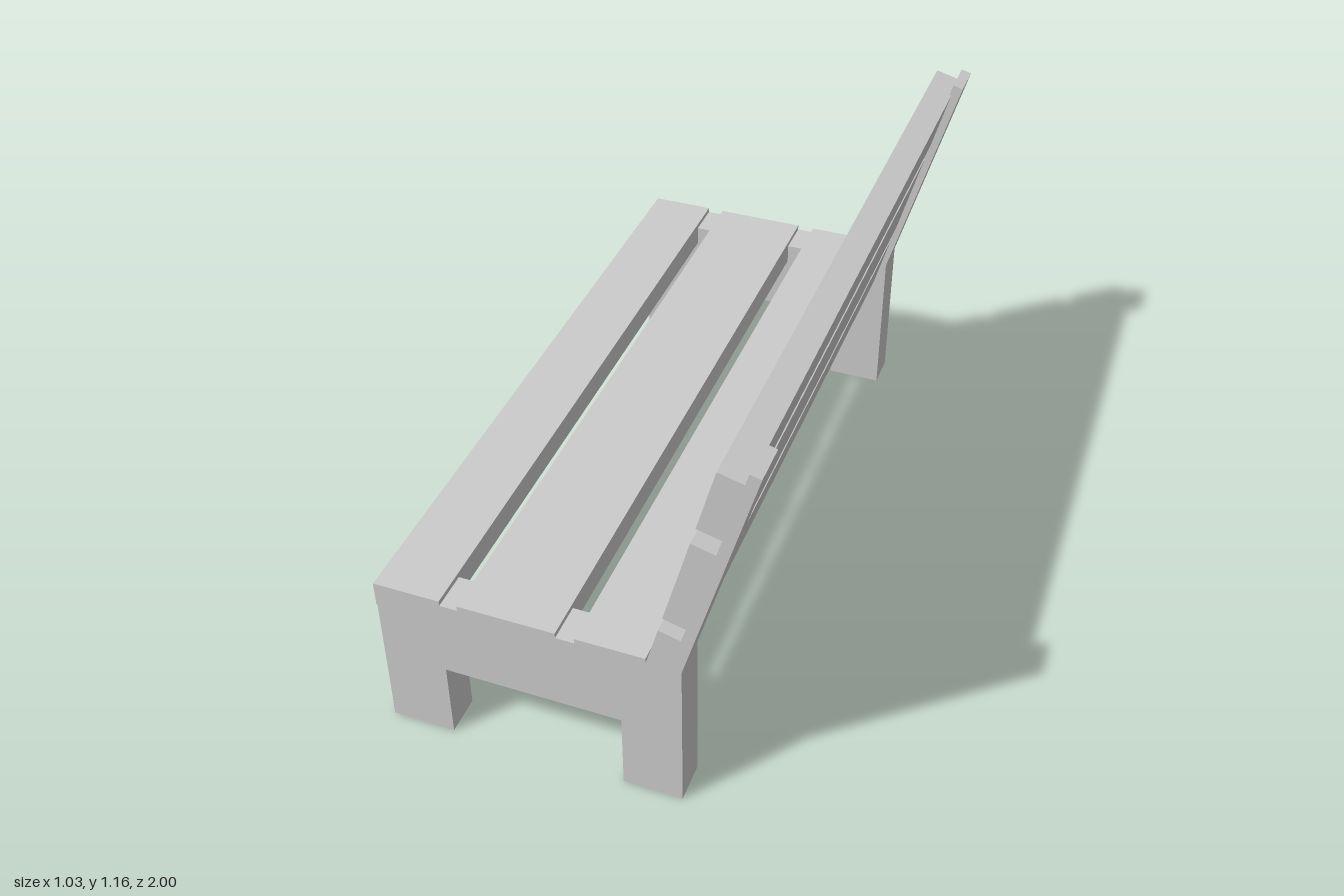
import * as THREE from 'three';

export function createModel() {
  const bench = new THREE.Group();
  bench.name = 'bench';
  const material = new THREE.MeshStandardMaterial({ color: 0xcccccc, flatShading: true });

  // Side frames: legs, seat rail and raked back post cut from one profile
  const profile = new THREE.Shape([
    [-0.514, 0], [-0.335, 0], [-0.335, 0.238], [0.16, 0.238], [0.16, 0], [0.325, 0],
    [0.325, 0.475], [0.514, 1.15], [0.485, 1.158], [0.293, 0.475], [-0.514, 0.475],
  ].map(([x, y]) => new THREE.Vector2(x, y)));
  const frameDepth = 0.11;
  const frameGeometry = new THREE.ExtrudeGeometry(profile, { depth: frameDepth, bevelEnabled: false });
  for (const [name, z] of [['frontFrame', 1 - frameDepth], ['rearFrame', -1]]) {
    const frame = new THREE.Mesh(frameGeometry, material);
    frame.name = name;
    frame.position.z = z;
    bench.add(frame);
  }

  // Full-length plank between two positions along its parent's width axis
  const thickness = 0.074;
  function addPlank(parent, name, from, to, upright) {
    const width = to - from;
    const size = upright ? [thickness, width] : [width, thickness];
    const plank = new THREE.Mesh(new THREE.BoxGeometry(...size, 2), material);
    plank.name = name;
    const middle = (from + to) / 2;
    if (upright) plank.position.set(thickness / 2, middle, 0);
    else plank.position.set(middle, -thickness / 2, 0);
    parent.add(plank);
  }

  // Seat planks, hung from the seat's top surface
  const seat = new THREE.Group();
  seat.name = 'seat';
  seat.position.y = 0.49;
  [[-0.517, -0.33], [-0.28, -0.01], [0.042, 0.231]].forEach(([a, b], i) =>
    addPlank(seat, `seatPlank${i + 1}`, a, b, false));
  bench.add(seat);

  // Leaning backrest, measured from the top front edge of its lowest plank
  const backrest = new THREE.Group();
  backrest.name = 'backrest';
  backrest.position.set(0.265, 0.601, 0);
  backrest.rotation.z = -THREE.MathUtils.degToRad(15);
  [[-0.188, 0], [0.046, 0.321], [0.372, 0.56]].forEach(([a, b], i) =>
    addPlank(backrest, `backPlank${i + 1}`, a, b, true));
  bench.add(backrest);

  return bench;
}
